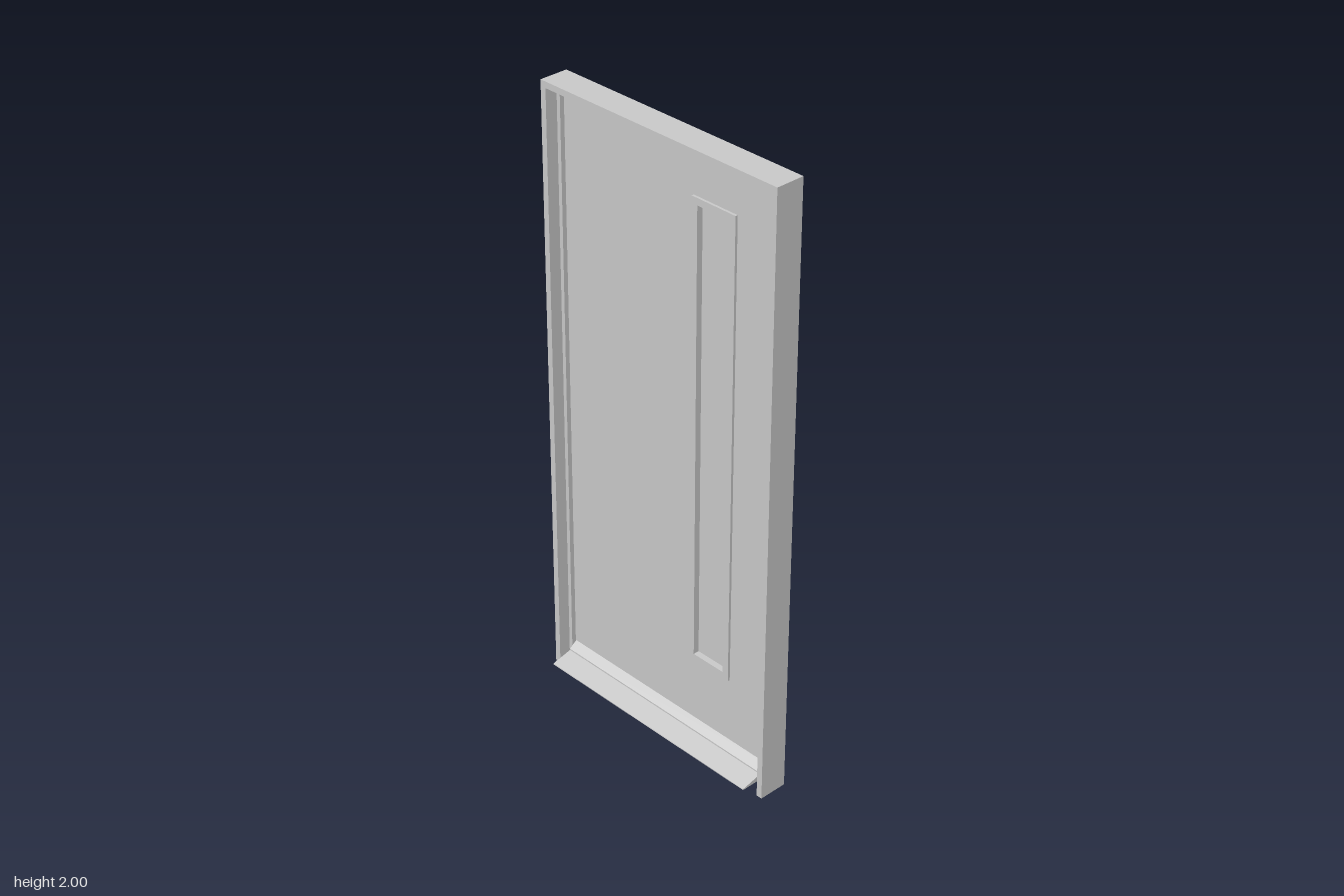
import * as THREE from 'three';

const grey = new THREE.MeshStandardMaterial({ color: 0xcccccc });

function add(group, name, geometry) {
  const mesh = new THREE.Mesh(geometry, grey);
  mesh.name = name;
  group.add(mesh);
}

// Box given by its limits on each axis
function box(x0, x1, y0, y1, z0, z1) {
  return new THREE.BoxGeometry(x1 - x0, y1 - y0, z1 - z0)
    .translate((x0 + x1) / 2, (y0 + y1) / 2, (z0 + z1) / 2);
}

// Rectangular plate with a rectangular opening; rects are [x0, x1, y0, y1]
function plate(outer, hole, z0, z1) {
  const corners = ([x0, x1, y0, y1]) =>
    [[x0, y0], [x1, y0], [x1, y1], [x0, y1]].map(p => new THREE.Vector2(...p));
  const shape = new THREE.Shape(corners(outer));
  shape.holes.push(new THREE.Path(corners(hole)));
  return new THREE.ExtrudeGeometry(shape, { depth: z1 - z0, bevelEnabled: false })
    .translate(0, 0, z0);
}

// Profile of [z, y] points swept across the width
function sweepX(points, width) {
  const shape = new THREE.Shape(points.map(p => new THREE.Vector2(...p)));
  return new THREE.ExtrudeGeometry(shape, { depth: width, bevelEnabled: false })
    .rotateY(-Math.PI / 2).translate(width / 2, 0, 0);
}

export function createModel() {
  const door = new THREE.Group();
  door.name = 'door';

  const W = 0.455, inner = 0.435, stop = 0.422;   // half widths
  const back = -0.065, front = 0.03;              // frame depth
  const leafFront = -0.025, stopFront = -0.01;

  // Frame: jambs reach the floor, stops end above the sill
  const frame = new THREE.Group();
  frame.name = 'frame';
  for (const [side, s] of [['left', 1], ['right', -1]]) {
    const span = (a, b) => (s > 0 ? [a, b] : [-b, -a]);
    add(frame, side + 'Jamb', box(...span(inner, W), 0, 2, back, front));
    add(frame, side + 'Stop', box(...span(stop, inner), 0.04, 1.98, leafFront, stopFront));
  }
  add(frame, 'header', box(-inner, inner, 1.98, 2, back, front));
  add(frame, 'headerStop', box(-stop, stop, 1.97, 1.98, leafFront, stopFront));
  door.add(frame);

  // Sloped sill projecting at the front, with a raised weather bar behind
  add(door, 'sill', sweepX([
    [back + 0.001, 0.035], [0.072, 0.035], [0.072, 0.038], [0.002, 0.055],
    [0.002, 0.06], [leafFront, 0.08], [leafFront, 0.042], [back + 0.001, 0.042],
  ], 2 * 0.42));

  // Leaf with a tall narrow window
  const trimRect = [0.095, 0.261, 0.3, 1.83];
  const opening = [0.117, 0.239, 0.322, 1.808];
  add(door, 'leaf', plate([-0.433, 0.433, 0.042, 1.974], opening, back, leafFront));
  add(door, 'frontWindowTrim', plate(trimRect, opening, leafFront, leafFront + 0.008));
  add(door, 'backWindowTrim', plate(trimRect, opening, back - 0.008, back));
  add(door, 'windowPane', box(...opening, -0.053, -0.037));

  return door;
}
